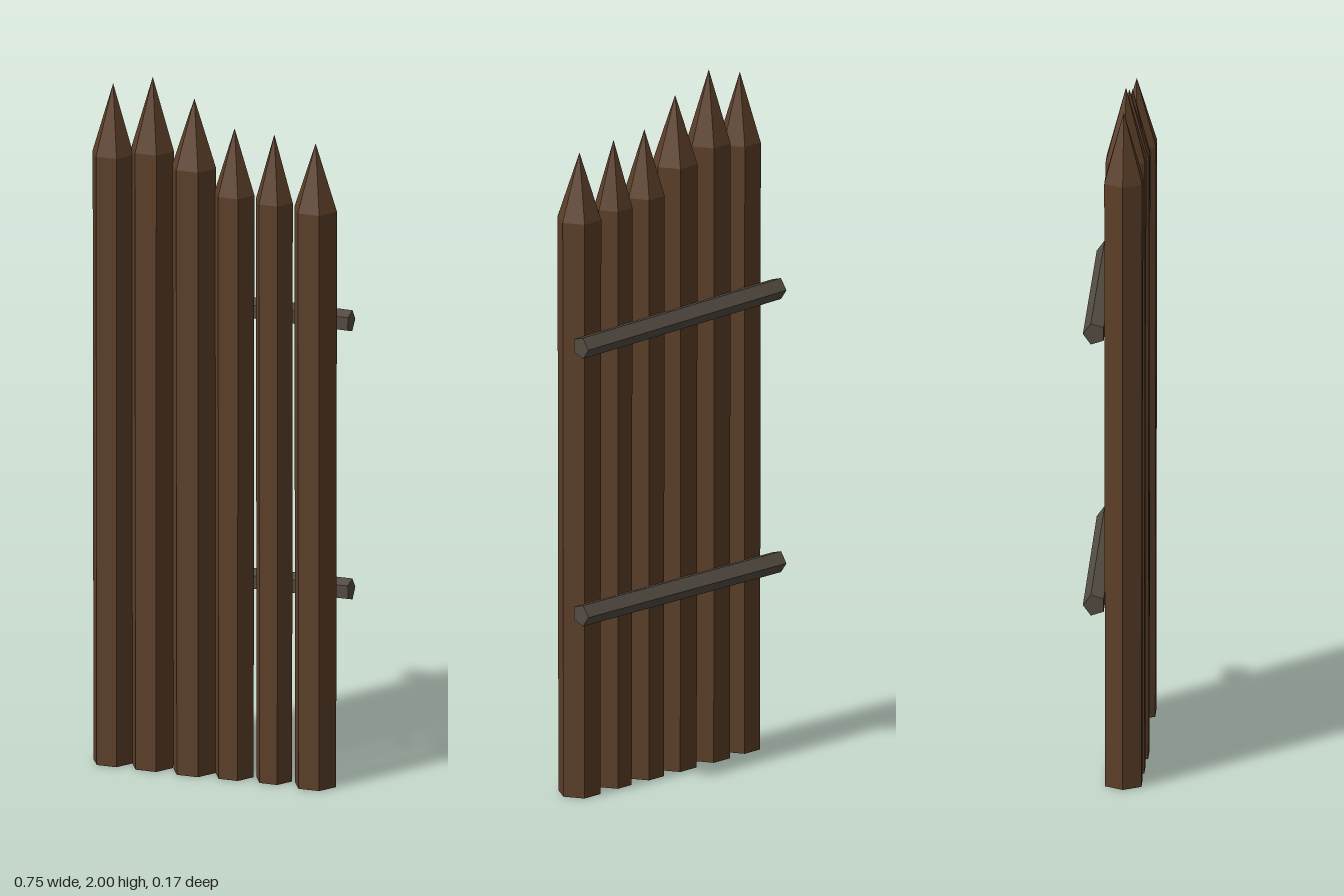
import * as THREE from 'three';

const brownWood = new THREE.MeshStandardMaterial({ color: 0x5c3f29, flatShading: true });
brownWood.name = 'brownWood';
const greyWood = new THREE.MeshStandardMaterial({ color: 0x544c42, flatShading: true });
greyWood.name = 'greyWood';

// x, z, shoulder radius, shoulder height, tip height
const STAKES = [
  [-0.302, 0.022, 0.061, 1.767, 1.968],
  [-0.184, 0.022, 0.0635, 1.79, 2.0],
  [-0.059, 0.025, 0.065, 1.756, 1.952],
  [0.06, 0.023, 0.059, 1.69, 1.878],
  [0.178, 0.022, 0.055, 1.68, 1.873],
  [0.303, 0.027, 0.0635, 1.671, 1.862],
];

// Six-sided post, slightly narrower at the foot, with a sharpened point
function makeStake([x, z, r, shoulder, tip], index) {
  const stake = new THREE.Group();
  stake.name = `stake${index + 1}`;

  const post = new THREE.Mesh(new THREE.CylinderGeometry(r, r * 0.96, shoulder, 6, 1), brownWood);
  post.name = 'post';
  post.position.y = shoulder / 2;

  const point = new THREE.Mesh(new THREE.ConeGeometry(r, tip - shoulder, 6, 1, true), brownWood);
  point.name = 'point';
  point.position.y = (shoulder + tip) / 2;

  // Corners point along x, flats face front and back
  stake.rotation.y = Math.PI / 2;
  stake.position.set(x, 0, z);
  stake.add(post, point);
  return stake;
}

// Five-sided crossbar along x, flat side against the stakes
function makeRail(name, y, tilt) {
  const geometry = new THREE.CylinderGeometry(0.032, 0.032, 0.753, 5);
  geometry.rotateY(Math.PI);
  geometry.rotateZ(Math.PI / 2);
  const rail = new THREE.Mesh(geometry, greyWood);
  rail.name = name;
  rail.position.set(0, y, -0.056);
  rail.rotation.z = tilt;
  return rail;
}

export function createModel() {
  const model = new THREE.Group();
  model.name = 'palisadeFence';
  STAKES.forEach((data, i) => model.add(makeStake(data, i)));
  model.add(makeRail('upperRail', 1.335, -0.016), makeRail('lowerRail', 0.548, 0.006));
  return model;
}
